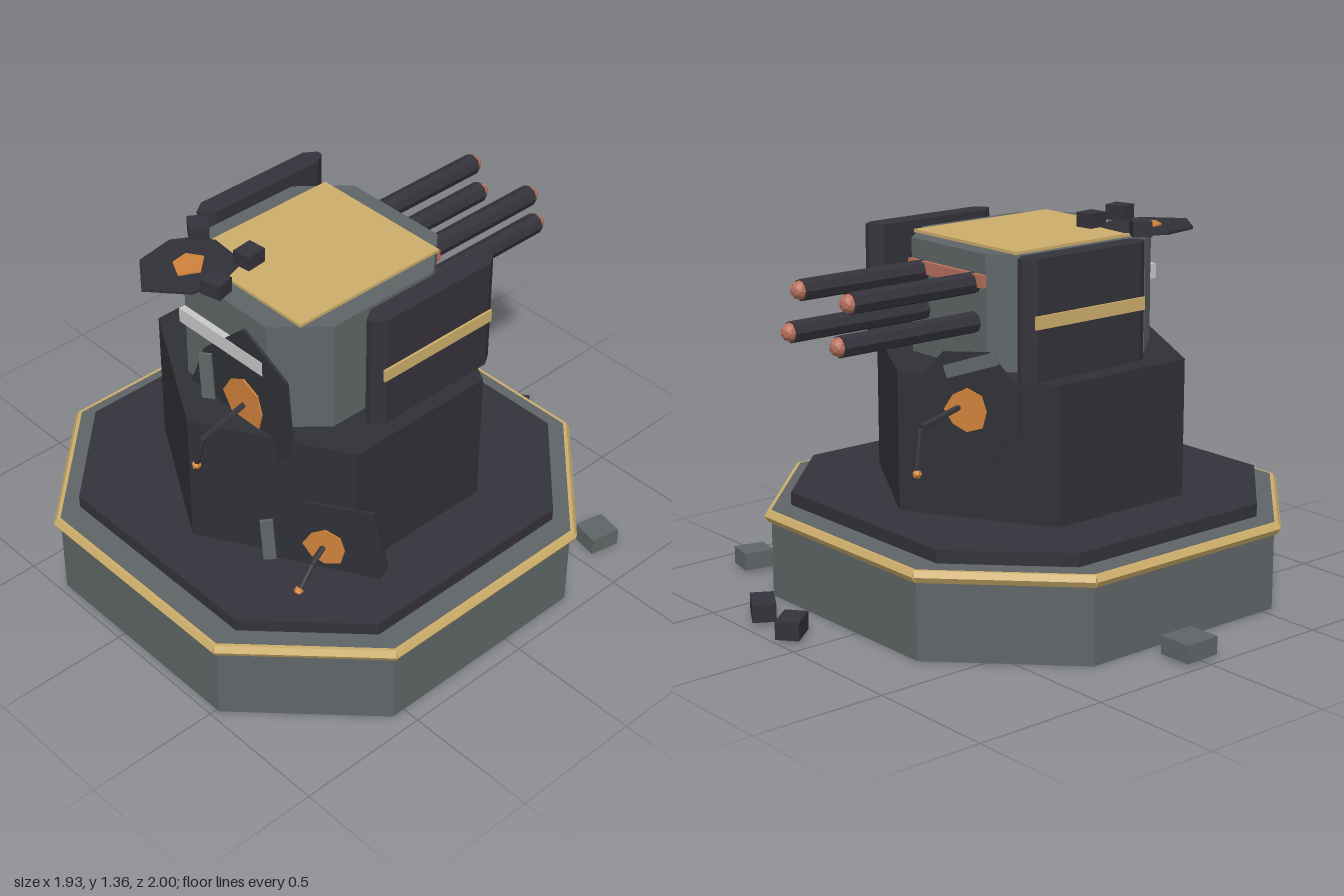
import * as THREE from 'three';

const mat = (name, color) => {
  const m = new THREE.MeshStandardMaterial({ color });
  m.name = name;
  return m;
};

export function createModel() {
  const root = new THREE.Group();
  root.name = 'ruinedGunTurret';
  const dark = mat('darkArmour', 0x34323a);
  const soot = mat('sootArmour', 0x303136);
  const grey = mat('greySteel', 0x5f6567);
  const gold = mat('goldTrim', 0xcdae6b);
  const copper = mat('copper', 0xb8705c);
  const orange = mat('rustOrange', 0xd0813a);
  const pale = mat('paleVisor', 0xc8c8c8);
  const CX = 0.087, CZ = 0.12;

  const add = (name, geo, material, x = 0, y = 0, z = 0, parent = root) => {
    const g = geo.index ? geo.toNonIndexed() : geo;
    g.computeVertexNormals(); // faceted look
    const m = new THREE.Mesh(g, material);
    m.name = name;
    m.position.set(x, y, z);
    parent.add(m);
    return m;
  };
  const box = (w, h, d) => new THREE.BoxGeometry(w, h, d);
  const polygon = (pts, depth) => new THREE.ExtrudeGeometry(
    new THREE.Shape(pts.map(p => new THREE.Vector2(p[0], p[1]))), { depth, bevelEnabled: false });

  // upright block whose plan is a rectangle with cut corners
  const chamferPlan = (hx, hz, cx, cz) => [
    [hx - cx, -hz], [hx, -hz + cz], [hx, hz - cz], [hx - cx, hz],
    [-hx + cx, hz], [-hx, hz - cz], [-hx, -hz + cz], [-hx + cx, -hz]];
  const chamferBlock = (hx, hz, cx, cz, h) =>
    polygon(chamferPlan(hx, hz, cx, cz), h).rotateX(-Math.PI / 2);

  // straight rod between two points
  const rod = (name, a, b, r, sides, material) => {
    const A = new THREE.Vector3(...a), B = new THREE.Vector3(...b);
    const d = B.clone().sub(A);
    const m = add(name, new THREE.CylinderGeometry(r, r, d.length(), sides), material);
    m.position.copy(A).add(B).multiplyScalar(0.5);
    m.quaternion.setFromUnitVectors(new THREE.Vector3(0, 1, 0), d.normalize());
    return m;
  };

  // stepped base
  add('base', chamferBlock(0.845, 0.85, 0.42, 0.42, 0.327), grey, CX, 0, CZ);
  add('deck', chamferBlock(0.763, 0.763, 0.338, 0.338, 0.05), dark, CX, 0.325, CZ);

  // gold rail on each edge of the base, six-sided with a flat top
  const rim = chamferPlan(0.845, 0.85, 0.42, 0.42);
  rim.forEach((p, i) => {
    const q = rim[(i + 1) % rim.length];
    const dx = q[0] - p[0], dz = q[1] - p[1];
    const geo = new THREE.CylinderGeometry(0.025, 0.025, Math.hypot(dx, dz) + 0.012, 6)
      .rotateY(Math.PI / 2).rotateX(Math.PI / 2);
    const rail = add('baseRail', geo, gold, CX + (p[0] + q[0]) / 2, 0.304, CZ + (p[1] + q[1]) / 2);
    rail.rotation.y = Math.atan2(dx, dz);
  });

  // six-sided tower body
  add('towerBody', new THREE.CylinderGeometry(0.593, 0.593, 0.51, 6), soot, CX, 0.625, CZ);

  // gun house with roof plate, visor and rear bar
  add('gunHouse', chamferBlock(0.352, 0.39, 0.145, 0.165, 0.415), grey, CX, 0.88, 0.145);
  add('roofPlate', box(0.565, 0.012, 0.63), gold, CX, 1.3, 0.14);
  add('visor', box(0.42, 0.055, 0.03), pale, CX, 1.135, 0.545).rotation.z = 0.01;
  add('rearBar', box(0.415, 0.045, 0.02), copper, CX, 1.2, -0.252);

  // side armour with a gold stripe
  for (const s of [-1, 1]) {
    add('sideArmour', chamferBlock(0.041, 0.282, 0.03, 0.045, 0.425), dark, CX + s * 0.425, 0.89, 0.003);
    add('armourStripe', box(0.009, 0.046, 0.5), gold, CX + s * 0.47, 1.098, 0.005);
  }

  // four gun barrels with copper muzzles
  for (const x of [-0.054, 0.228]) {
    for (const [y, end] of [[1.187, -0.775], [1.047, -0.82]]) {
      rod('gunBarrel', [x, y, -0.2], [x, y, end], 0.039, 8, dark);
      add('muzzle', new THREE.IcosahedronGeometry(0.034, 1), copper, x, y, end);
    }
  }

  // torn hull plates: ragged sheet, rusty hole, optional loose strip
  const tornPlate = (name, pts, pos, rot, hole, strip) => {
    const g = new THREE.Group();
    g.name = name;
    g.position.set(...pos);
    g.rotation.set(...rot);
    root.add(g);
    add('raggedSheet', polygon(pts, 0.01), soot, 0, 0, 0, g);
    add('rustyHole', polygon(hole, 0.006), orange, 0, 0, 0.01, g);
    if (strip) {
      const [x, y, z, w, h, tilt, twist] = strip;
      add('looseStrip', box(w, h, 0.012), grey, x, y, z, g).rotation.set(0, twist, tilt);
    }
  };
  const roundHole = (r, cx = 0, cy = 0) => [1, 0.92, 1.05, 0.9, 0.95, 1.02, 0.9, 0.97].map((k, i) => {
    const a = Math.PI / 2 + i * Math.PI / 4;
    return [cx + Math.cos(a) * r * k, cy + Math.sin(a) * r * k];
  });

  tornPlate('frontTornPlate',
    [[0.005, 0.27], [-0.2, 0.08], [-0.275, -0.1], [-0.13, -0.2], [0.16, -0.2], [0.24, -0.1], [0.215, 0.165]],
    [0.2, 0.98, 0.548], [0, 0, 0], roundHole(0.1, 0.005, -0.035), [-0.165, -0.01, 0.03, 0.045, 0.19, 0.04, 0.6]);
  tornPlate('cornerTornPlate',
    [[-0.08, 0.19], [-0.2, 0.04], [-0.2, -0.12], [-0.05, -0.2], [0.15, -0.17], [0.21, -0.03], [0.16, 0.2]],
    [0.53, 0.46, 0.475], [0, Math.PI / 6, 0], roundHole(0.077, -0.01, 0.01), [-0.21, -0.01, 0.025, 0.045, 0.2, 0.06, 0.4]);
  tornPlate('rearTornPlate',
    [[-0.09, 0.2], [-0.19, 0.08], [-0.2, -0.08], [-0.1, -0.19], [0.07, -0.19], [0.19, -0.07], [0.19, 0.09], [0.08, 0.21]],
    [-0.15, 0.77, -0.35], [0, Math.PI * 7 / 6, 0], roundHole(0.08), [0.02, 0.165, 0.025, 0.19, 0.045, 0.3, 0.1]);
  tornPlate('roofTornPlate',
    [[-0.055, 0.165], [-0.13, 0.1], [-0.16, 0.05], [-0.135, -0.1], [0, -0.2], [0.125, -0.09], [0.15, 0.02], [0.105, 0.15]],
    [-0.125, 1.3, 0.51], [-Math.PI / 2, 0, 0],
    [[0, 0.07], [-0.055, 0.035], [-0.045, -0.03], [0.025, -0.065], [0.06, 0.005]]);

  // bent cables hanging from the holes
  const cables = [
    [[0.205, 0.94, 0.56], [0.155, 0.84, 0.705], [0.135, 0.725, 0.72]],
    [[0.52, 0.47, 0.49], [0.535, 0.44, 0.56], [0.55, 0.375, 0.635]],
    [[-0.13, 0.78, -0.37], [-0.11, 0.73, -0.525], [-0.13, 0.575, -0.56]]];
  for (const [a, b, c] of cables) {
    rod('cableUpper', a, b, 0.011, 6, dark);
    rod('cableLower', b, c, 0.011, 6, dark);
    add('cableTip', new THREE.IcosahedronGeometry(0.018, 0), orange, ...c);
  }

  // rubble: x, y, z, width, height, depth, turn, material
  const rubble = [
    [-0.245, 1.332, 0.365, 0.08, 0.055, 0.07, -0.6, dark],
    [-0.005, 1.332, 0.345, 0.07, 0.055, 0.08, 0.1, dark],
    [0.047, 1.332, 0.535, 0.08, 0.055, 0.07, 0.25, dark],
    [0.115, 0.045, -0.925, 0.125, 0.066, 0.085, -0.88, dark],
    [0.33, 0.045, -0.898, 0.135, 0.066, 0.085, -0.53, dark],
    [0.813, 0.045, -0.612, 0.105, 0.066, 0.115, -0.2, grey],
    [-0.905, 0.045, -0.01, 0.127, 0.066, 0.14, 0.02, grey]];
  for (const [x, y, z, w, h, d, turn, m] of rubble) {
    add('rubble', box(w, h, d), m, x, y, z).rotation.y = turn;
  }
  return root;
}
